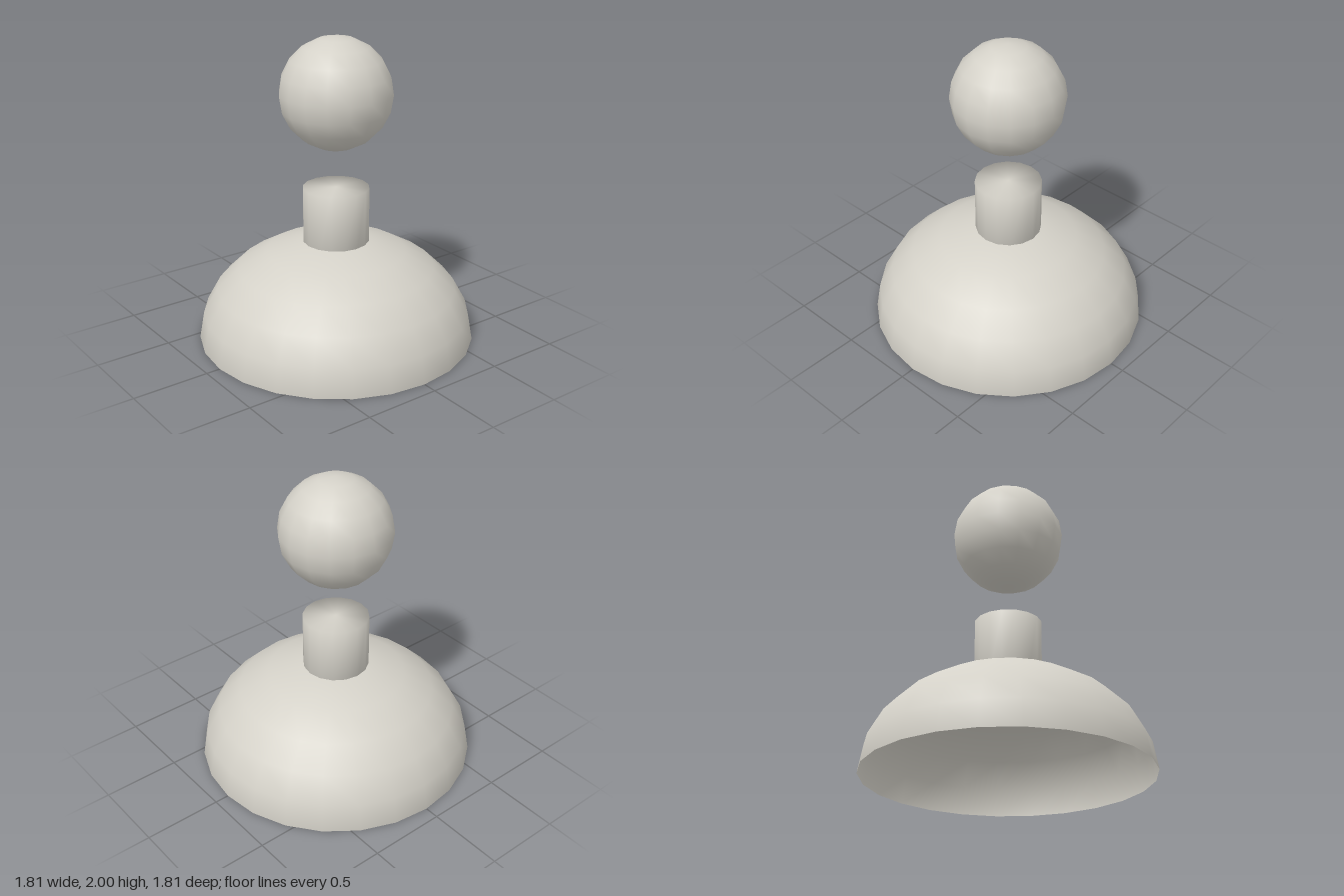
import * as THREE from 'three';
import { mergeVertices } from 'three/addons/utils/BufferGeometryUtils.js';

// Weld corners so shading runs smoothly over the edges
function welded(geometry) {
  geometry.deleteAttribute('normal');
  geometry.deleteAttribute('uv');
  const result = mergeVertices(geometry);
  result.computeVertexNormals();
  return result;
}

export function createModel() {
  const group = new THREE.Group();
  const stone = new THREE.MeshStandardMaterial({ color: 0xd4d1c8, side: THREE.DoubleSide });
  stone.name = 'warmGrey';

  function add(name, geometry, y) {
    const mesh = new THREE.Mesh(geometry, stone);
    mesh.name = name;
    mesh.position.y = y;
    group.add(mesh);
  }

  // Hollow flattened half sphere, open underneath
  const dome = new THREE.SphereGeometry(0.907, 24, 6, 0, Math.PI * 2, 0, Math.PI / 2);
  dome.scale(1, 0.68 / 0.907, 1);
  add('dome', dome, 0);

  // Capped neck that reaches a little way inside the dome
  add('neck', welded(new THREE.CylinderGeometry(0.216, 0.216, 0.44, 16)), 0.8);

  // Ball floating above the neck
  add('ball', new THREE.SphereGeometry(0.362, 16, 10), 1.638);

  return group;
}
